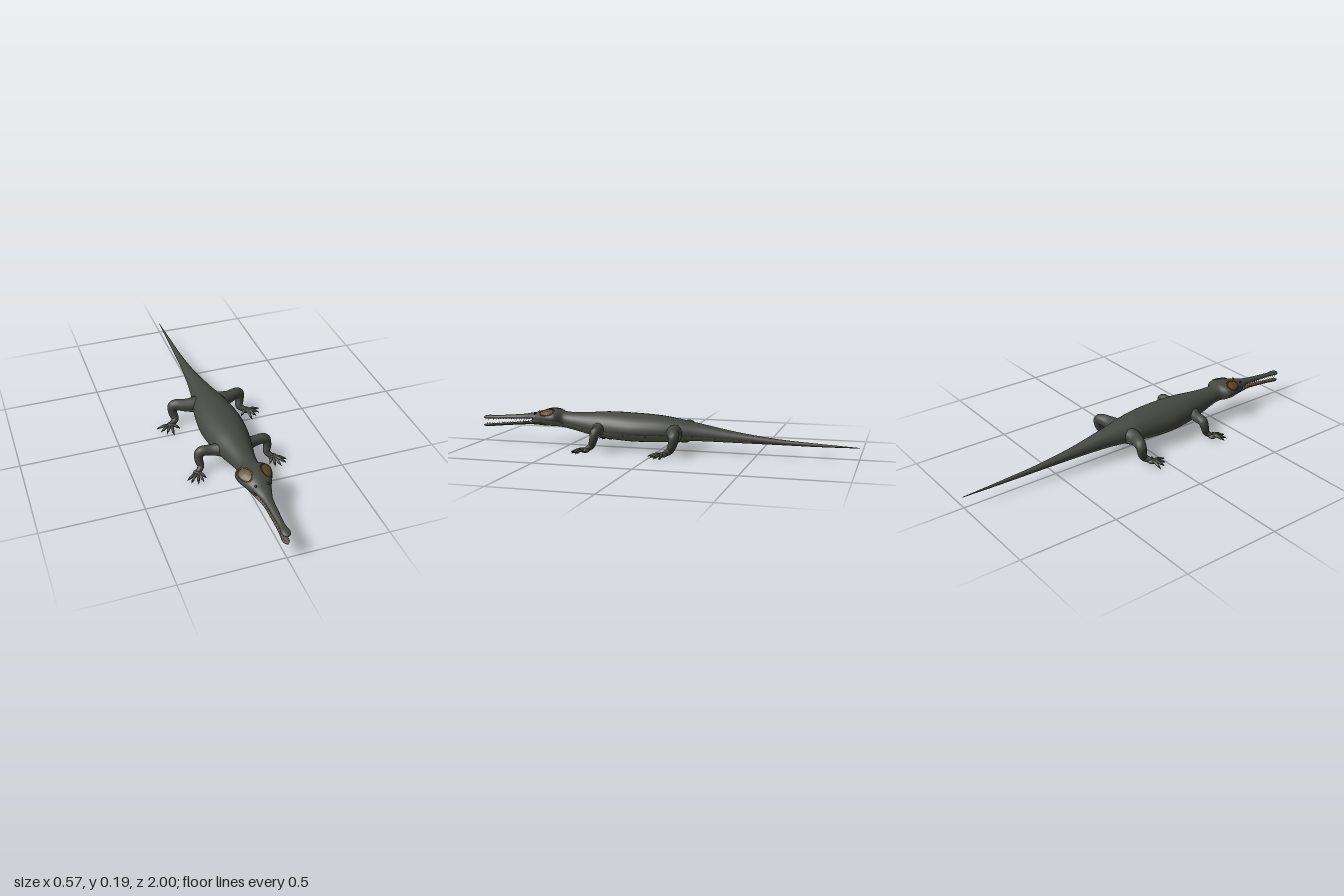
import * as THREE from 'three';

const mat = (name, color, extra = {}) => new THREE.MeshStandardMaterial({ name, color, ...extra });
const V = (x, y, z) => new THREE.Vector3(x, y, z);

// Profile rows: z, half width, top y, bottom y, y of the widest line
const BODY = [
  [-1, 0.001, 0.064, 0.061, 0.0625], [-0.8, 0.009, 0.074, 0.058, 0.066], [-0.6, 0.017, 0.087, 0.058, 0.071],
  [-0.4, 0.031, 0.112, 0.058, 0.082], [-0.2, 0.058, 0.148, 0.058, 0.095], [-0.1, 0.08, 0.166, 0.052, 0.1],
  [0, 0.1, 0.18, 0.045, 0.1], [0.14, 0.112, 0.187, 0.041, 0.1], [0.28, 0.098, 0.189, 0.049, 0.105],
  [0.38, 0.076, 0.182, 0.064, 0.112], [0.47, 0.058, 0.177, 0.084, 0.125], [0.53, 0.056, 0.181, 0.096, 0.135],
  [0.555, 0.083, 0.189, 0.1, 0.145], [0.6, 0.085, 0.192, 0.101, 0.147], [0.65, 0.064, 0.182, 0.103, 0.143],
  [0.7, 0.041, 0.166, 0.106, 0.137],
];
const UPPER_JAW = [
  [0.63, 0.06, 0.178, 0.134, 0.147], [0.7, 0.043, 0.168, 0.134, 0.143], [0.76, 0.025, 0.157, 0.132, 0.139],
  [0.84, 0.019, 0.149, 0.128, 0.135], [0.93, 0.016, 0.142, 0.124, 0.13], [0.965, 0.021, 0.142, 0.122, 0.13],
  [0.988, 0.018, 0.139, 0.122, 0.129], [1, 0.004, 0.132, 0.126, 0.129],
];
const LOWER_JAW = [
  [0.62, 0.058, 0.128, 0.101, 0.118], [0.7, 0.039, 0.122, 0.104, 0.115], [0.76, 0.022, 0.116, 0.1, 0.11],
  [0.84, 0.016, 0.107, 0.093, 0.102], [0.93, 0.014, 0.098, 0.084, 0.093], [0.97, 0.017, 0.094, 0.08, 0.088],
  [0.988, 0.014, 0.092, 0.08, 0.087], [1, 0.003, 0.088, 0.083, 0.086],
];

// Smooth interpolation of a profile at z
function profileAt(rows, z) {
  let i = 0;
  while (i < rows.length - 2 && z > rows[i + 1][0]) i++;
  const a = rows[i], b = rows[i + 1], h = b[0] - a[0], t = (z - a[0]) / h;
  const slope = (k, c) => {
    const p = rows[Math.max(k - 1, 0)], q = rows[Math.min(k + 1, rows.length - 1)];
    return (q[c] - p[c]) / (q[0] - p[0]);
  };
  const t2 = t * t, t3 = t2 * t;
  return a.map((_, c) => c === 0 ? z
    : (2 * t3 - 3 * t2 + 1) * a[c] + (t3 - 2 * t2 + t) * h * slope(i, c)
      + (3 * t2 - 2 * t3) * b[c] + (t3 - t2) * h * slope(i + 1, c));
}

function surfacePoint(rows, z, a) {
  const [, w, top, bottom, mid] = profileAt(rows, z);
  const s = Math.sin(a);
  return V(w * Math.cos(a), mid + s * (s > 0 ? top - mid : mid - bottom), z);
}

// Closed skin over rings of points; paint(i, j) gives the material index
function skin(name, rings, materials, paint = () => 0) {
  const n = rings[0].length, last = rings.length - 1, buckets = materials.map(() => []);
  const points = rings.flat();
  for (let i = 0; i < last; i++) for (let j = 0; j < n; j++) {
    const k = (j + 1) % n, a = i * n + j, b = i * n + k;
    buckets[paint(i, j)].push(a, b, b + n, a, b + n, a + n);
  }
  for (const i of [0, last]) {
    const c = points.length;
    points.push(rings[i].reduce((s, p) => s.add(p), V(0, 0, 0)).divideScalar(n));
    for (let j = 0; j < n; j++) {
      const a = i * n + j, b = i * n + (j + 1) % n;
      buckets[0].push(...(i ? [a, b, c] : [b, a, c]));
    }
  }
  const geo = new THREE.BufferGeometry().setFromPoints(points);
  geo.setIndex(buckets.flat());
  let start = 0;
  buckets.forEach((b, m) => { geo.addGroup(start, b.length, m); start += b.length; });
  geo.computeVertexNormals();
  const mesh = new THREE.Mesh(geo, materials);
  mesh.name = name;
  return mesh;
}

function profileRings(rows, count, sides) {
  const z0 = rows[0][0], z1 = rows[rows.length - 1][0];
  return Array.from({ length: count + 1 }, (_, i) => Array.from({ length: sides }, (_, j) =>
    surfacePoint(rows, z0 + (z1 - z0) * i / count, j / sides * Math.PI * 2)));
}

// Tapering round rings along a smooth path of [x, y, z, radius]
function tubeRings(path, count, sides, ref) {
  const curve = new THREE.CatmullRomCurve3(path.map(p => V(p[0], p[1], p[2])));
  return Array.from({ length: count + 1 }, (_, i) => {
    const t = i / count, f = t * (path.length - 1), k = Math.min(Math.floor(f), path.length - 2);
    const r = THREE.MathUtils.lerp(path[k][3], path[k + 1][3], f - k);
    const c = curve.getPoint(t), d = curve.getTangent(t);
    const u = ref.clone().cross(d).normalize(), v = d.clone().cross(u);
    return Array.from({ length: sides }, (_, j) => {
      const a = j / sides * Math.PI * 2;
      return c.clone().addScaledVector(u, r * Math.cos(a)).addScaledVector(v, r * Math.sin(a));
    });
  });
}

const LEGS = [
  { name: 'front', palm: [0.195, 0.017, 0.345],
    path: [[0.04, 0.108, 0.325, 0.04], [0.11, 0.108, 0.305, 0.027], [0.168, 0.105, 0.3, 0.025],
      [0.178, 0.07, 0.307, 0.021], [0.172, 0.035, 0.322, 0.017], [0.195, 0.018, 0.345, 0.012]],
    toes: [[0.257, 0.375], [0.245, 0.4], [0.213, 0.415], [0.184, 0.408], [0.164, 0.383]] },
  { name: 'hind', palm: [0.208, 0.018, -0.065],
    path: [[0.03, 0.1, -0.085, 0.05], [0.11, 0.106, -0.09, 0.034], [0.18, 0.104, -0.112, 0.027],
      [0.184, 0.065, -0.108, 0.023], [0.178, 0.033, -0.09, 0.019], [0.208, 0.018, -0.065, 0.013]],
    toes: [[0.283, -0.068], [0.27, -0.035], [0.245, -0.01], [0.213, 0.012], [0.168, -0.035]] },
];

export function createModel() {
  const back = mat('dark hide', 0x454742), belly = mat('pale belly', 0x696b56);
  const patchMat = mat('brown patch', 0x5e4c28, { side: THREE.DoubleSide });
  const tooth = mat('tooth', 0xb5ad90), black = mat('claw black', 0x1d1d1b), mouth = mat('mouth lining', 0x6a5c4a);
  const model = new THREE.Group();
  model.name = 'longSnoutedReptile';

  // Tail, trunk and head in one skin, paler underneath
  const sides = 32;
  model.add(skin('body', profileRings(BODY, 160, sides), [back, belly], (i, j) => {
    const edge = i < 50 ? 19 : 17 + (i * 7 % 11 === 0 ? 1 : 0);
    return j >= edge && j < 48 - edge ? 1 : 0;
  }));

  // Slender open jaws
  model.add(skin('upperJaw', profileRings(UPPER_JAW, 48, 20), [back, mouth], (i, j) => j > 11 && j < 18 ? 1 : 0));
  model.add(skin('lowerJaw', profileRings(LOWER_JAW, 48, 20), [back, mouth, belly],
    (i, j) => j > 1 && j < 8 ? 1 : j > 11 && j < 18 ? 2 : 0));

  // Rows of small teeth
  const teeth = new THREE.Group();
  teeth.name = 'teeth';
  const cone = new THREE.ConeGeometry(0.0028, 0.013, 6);
  for (const side of [1, -1]) for (let i = 0; i < 18; i++) for (const upper of [true, false]) {
    const z = 0.725 + i * 0.0152 + (upper ? 0 : 0.006);
    const [, w, top, bottom] = profileAt(upper ? UPPER_JAW : LOWER_JAW, Math.min(z, 0.988));
    const t = new THREE.Mesh(cone, tooth);
    t.name = upper ? 'upperTooth' : 'lowerTooth';
    t.position.set(side * w * 0.72, upper ? bottom - 0.001 : top + 0.001, Math.min(z, 0.988));
    if (upper) t.rotation.x = Math.PI;
    teeth.add(t);
  }
  model.add(teeth);

  for (const side of [1, -1]) {
    const label = side > 0 ? 'left' : 'right';

    // Oval patch on the back corner of the skull
    const rings = [0.01, 0.35, 0.7, 1].map(k => Array.from({ length: 24 }, (_, j) => {
      const q = j / 24 * Math.PI * 2;
      const z = 0.612 + 0.048 * k * Math.cos(q), a = 0.82 + 0.5 * k * Math.sin(q);
      const p = surfacePoint(BODY, z, a);
      return V(side * (p.x + 0.003 * Math.cos(a)), p.y + 0.003 * Math.sin(a), z);
    }));
    model.add(skin(label + 'SkullPatch', side > 0 ? rings : rings.map(r => r.reverse()), [patchMat]));

    // Eye
    const eye = new THREE.Mesh(new THREE.SphereGeometry(0.006, 12, 8), black);
    eye.name = label + 'Eye';
    eye.position.set(side * 0.03, 0.166, 0.688);
    model.add(eye);

    // Sprawling legs with spread, clawed toes
    for (const { name, path, palm, toes } of LEGS) {
      const leg = new THREE.Group();
      leg.name = label + name[0].toUpperCase() + name.slice(1) + 'Leg';
      const flip = p => [side * p[0], ...p.slice(1)];
      leg.add(skin('limb', tubeRings(path.map(flip), 26, 14, V(0, 0, 1)), [back, belly],
        (i, j) => i < 9 && side * Math.cos((j + 0.5) / 14 * Math.PI * 2) < -0.3 ? 1 : 0));
      const foot = new THREE.Mesh(new THREE.SphereGeometry(1, 14, 10), back);
      foot.name = 'foot';
      foot.scale.set(0.023, 0.013, 0.023);
      foot.position.set(side * palm[0], palm[1], palm[2]);
      leg.add(foot);
      for (const [x, z] of toes) {
        const at = (t, y, r) => [side * (palm[0] + (x - palm[0]) * t), y, palm[2] + (z - palm[2]) * t, r];
        leg.add(skin('toe', tubeRings([at(0.1, 0.018, 0.009), at(0.45, 0.021, 0.0075), at(0.78, 0.013, 0.006)],
          6, 8, V(0, 1, 0)), [back]));
        leg.add(skin('claw', tubeRings([at(0.74, 0.014, 0.0055), at(0.9, 0.012, 0.0035), at(1, 0.006, 0.0004)],
          4, 6, V(0, 1, 0)), [black]));
      }
      model.add(leg);
    }
  }
  return model;
}
